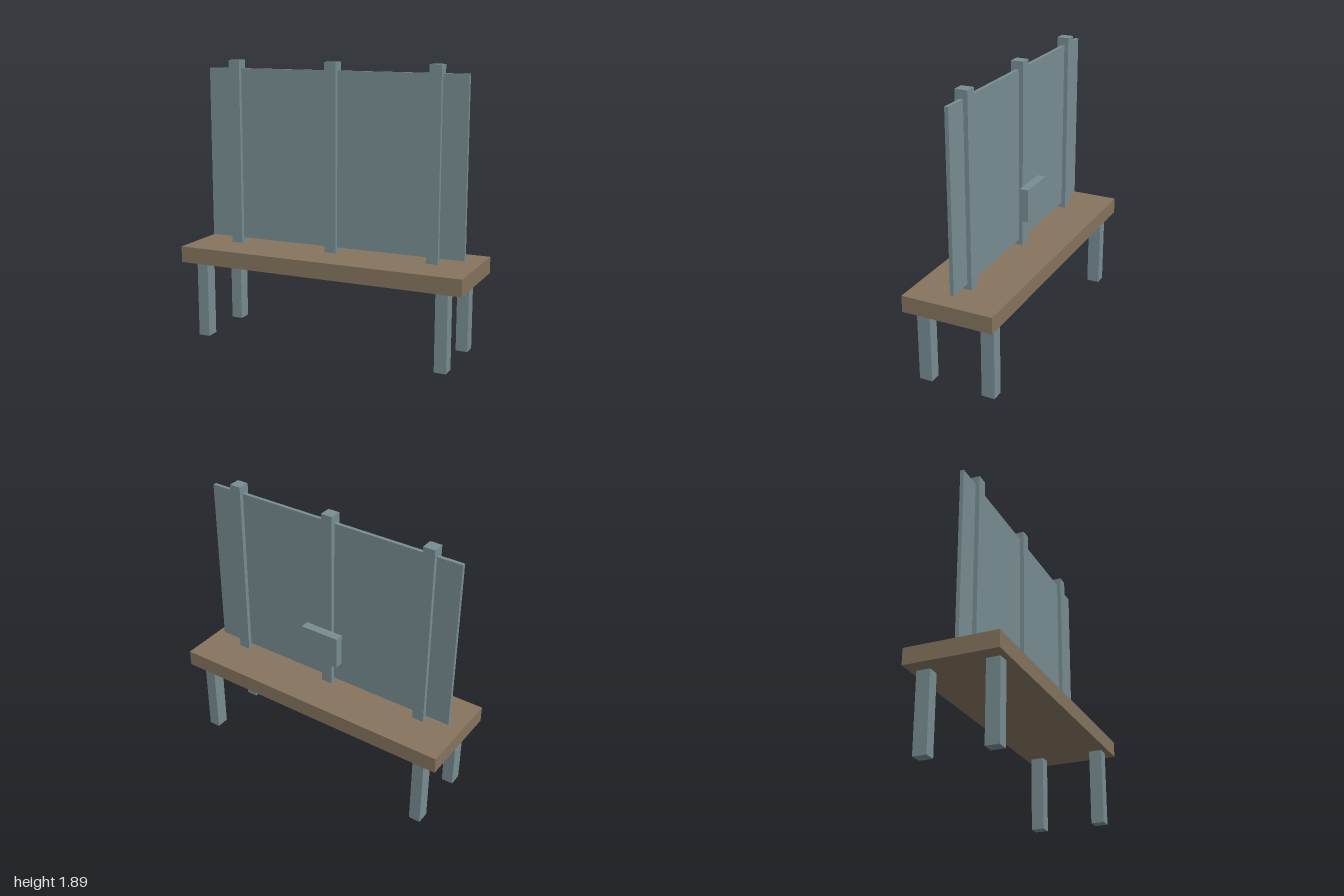
import * as THREE from 'three';

export function createModel() {
  const model = new THREE.Group();
  const steel = new THREE.MeshStandardMaterial({ name: 'greySteel', color: 0x788d92 });
  const wood = new THREE.MeshStandardMaterial({ name: 'brownWood', color: 0x85745e });

  // Box placed by its centre in x and z and by its bottom in y
  function addBox(name, material, [w, h, d], [x, bottom, z]) {
    const mesh = new THREE.Mesh(new THREE.BoxGeometry(w, h, d), material);
    mesh.name = name;
    mesh.position.set(x, bottom + h / 2, z);
    model.add(mesh);
  }

  // Bench top on four legs
  addBox('benchTop', wood, [2, 0.11, 0.615], [0, 0.52, 0]);
  for (const x of [-0.86, 0.86]) {
    for (const z of [-0.222, 0.222]) {
      addBox('leg', steel, [0.08, 0.52, 0.09], [x, 0, z]);
    }
  }

  // Upright posts carrying the thin panel
  for (const x of [-0.715, 0, 0.715]) {
    addBox('post', steel, [0.08, 1.26, 0.082], [x, 0.63, 0]);
  }
  addBox('panel', steel, [1.845, 1.17, 0.025], [0, 0.665, 0]);

  // Small control box behind the middle post
  addBox('controlBox', steel, [0.275, 0.222, 0.06], [0, 0.855, -0.096]);

  return model;
}
